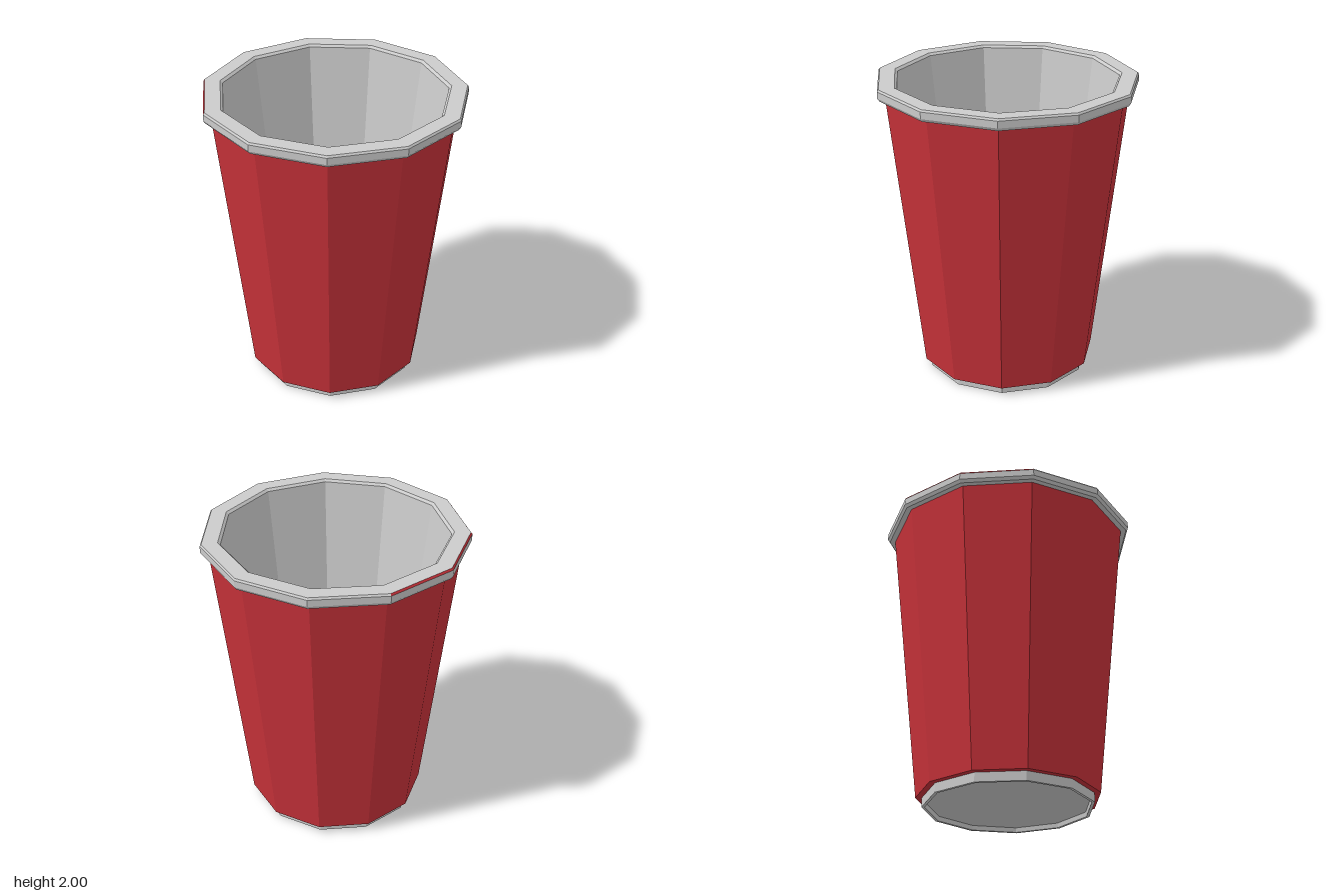
import * as THREE from 'three';

const SIDES = 11;
const STEP = (Math.PI * 2) / SIDES;

const grey = new THREE.MeshStandardMaterial({ color: 0xcccccc, flatShading: true });
const red = new THREE.MeshStandardMaterial({ color: 0xc8323a, flatShading: true });

// Faceted ring from a [radius, height] profile; a corner points to the back.
function ring(name, material, profile, first = 0, count = SIDES) {
  const points = profile.map(([r, y]) => new THREE.Vector2(r, y));
  const geometry = new THREE.LatheGeometry(points, count, Math.PI + first * STEP, count * STEP);
  const mesh = new THREE.Mesh(geometry, material);
  mesh.name = name;
  return mesh;
}

export function createModel() {
  const cup = new THREE.Group();
  cup.name = 'cup';

  // Recessed underside and foot, from the axis outwards
  cup.add(ring('foot', grey, [[0, 0.03], [0.525, 0.03], [0.53, 0], [0.55, 0], [0.55, 0.06]]));

  // Tapered outer wall with its lower lip
  cup.add(ring('outerWall', red, [[0.55, 0.06], [0.59, 0.06], [0.793, 1.925]]));

  // Rolled rim
  cup.add(ring('rim', grey, [[0.793, 1.925], [0.83, 1.925], [0.844, 1.945], [0.844, 1.988]]));
  cup.add(ring('rimTop', grey, [[0.835, 2], [0.734, 2], [0.718, 1.985]]));

  // Outer bevel of the rim: three red facets at the back, the rest grey
  const bevel = [[0.844, 1.988], [0.835, 2]];
  cup.add(ring('rimBevelRed', red, bevel, -1, 3));
  cup.add(ring('rimBevel', grey, bevel, 2, SIDES - 3));

  // Inside: wall, red seam and floor
  cup.add(ring('innerWall', grey, [[0.718, 1.985], [0.474, 0.09]]));
  cup.add(ring('floorSeam', red, [[0.474, 0.09], [0.462, 0.08]]));
  cup.add(ring('floor', grey, [[0.462, 0.08], [0, 0.08]]));

  // The odd number of sides puts the axis slightly in front of the centre
  for (const part of cup.children) part.position.z = 0.017;
  return cup;
}
